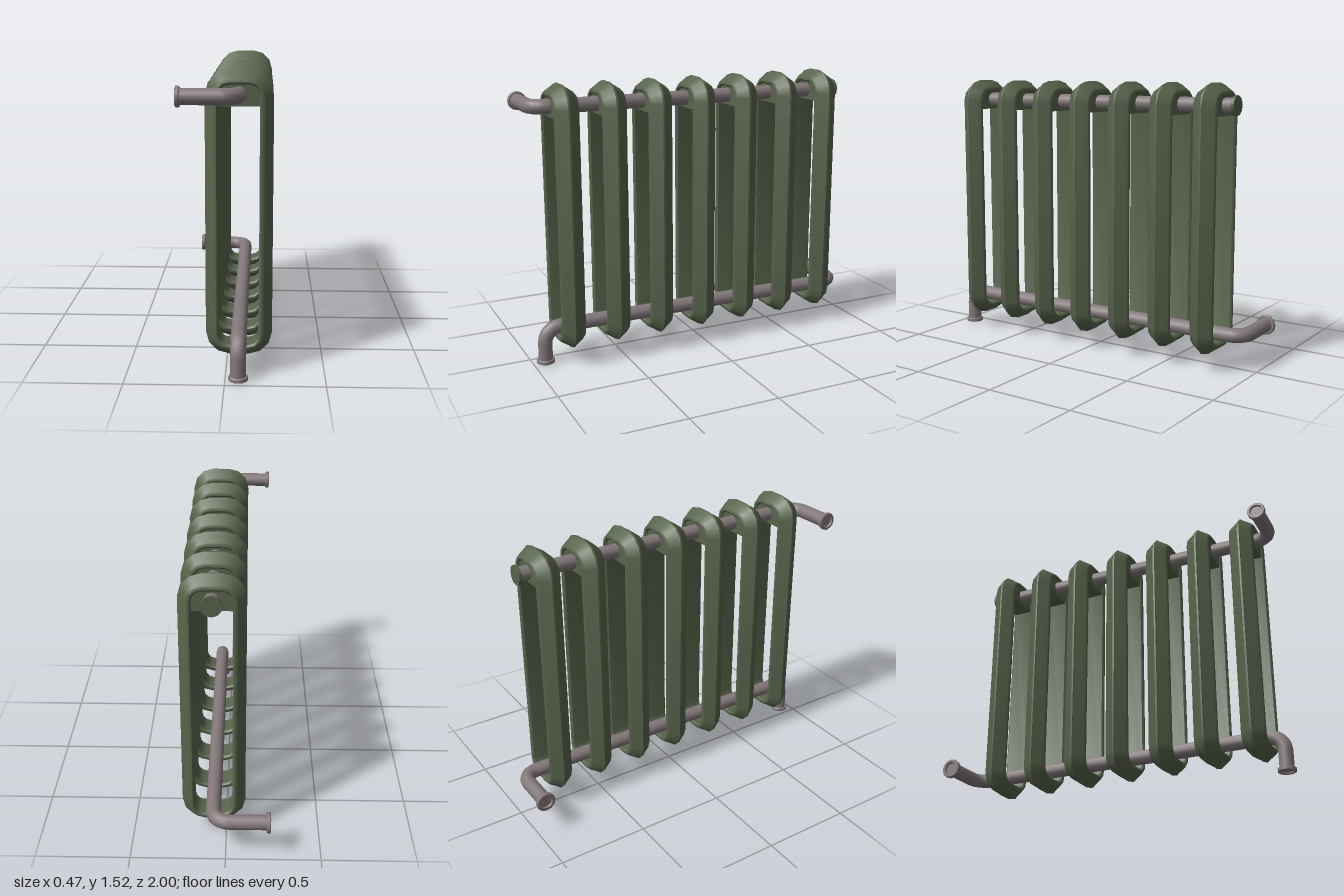
import * as THREE from 'three';
import { toCreasedNormals } from 'three/addons/utils/BufferGeometryUtils.js';

const CX = 0.066, UPPER = 1.41, LOWER = 0.2, R = 0.04;
const v = (x, y, z) => new THREE.Vector3(x, y, z);

// Closed rounded-rectangle loop swept with a section of [inset from outer edge, z]
function ringGeometry() {
  const hw = 0.167, hh = 0.718, r = 0.12, steps = 3;
  const section = [[0, -0.005], [0, 0.005], [0.007, 0.012], [0.038, 0.06], [0.047, 0.067],
    [0.058, 0.067], [0.067, 0.058], [0.067, -0.058], [0.058, -0.067], [0.047, -0.067],
    [0.038, -0.06], [0.007, -0.012]];
  const pos = [], idx = [], m = section.length, n = 4 * (steps + 1);
  for (let c = 0; c < 4; c++) {
    const sx = c === 0 || c === 3 ? 1 : -1, sy = c < 2 ? 1 : -1;
    for (let s = 0; s <= steps; s++) {
      const a = (c + s / steps) * Math.PI / 2;
      for (const [d, z] of section) {
        pos.push(sx * (hw - r) + (r - d) * Math.cos(a), sy * (hh - r) + (r - d) * Math.sin(a), z);
      }
    }
  }
  for (let i = 0; i < n; i++) {
    for (let j = 0; j < m; j++) {
      const i2 = (i + 1) % n, j2 = (j + 1) % m;
      const a = i * m + j, b = i2 * m + j, c = i2 * m + j2, d = i * m + j2;
      idx.push(a, b, c, a, c, d);
    }
  }
  const g = new THREE.BufferGeometry();
  g.setAttribute('position', new THREE.Float32BufferAttribute(pos, 3));
  g.setIndex(idx);
  return toCreasedNormals(g, 0.7);
}

export function createModel() {
  const model = new THREE.Group();
  model.name = 'radiator';
  const green = new THREE.MeshStandardMaterial({ color: 0x58644c });
  green.name = 'green paint';
  const metal = new THREE.MeshStandardMaterial({ color: 0x83787a });
  metal.name = 'pipe metal';

  const add = (name, geometry, material, parent = model) => {
    const mesh = new THREE.Mesh(geometry, material);
    mesh.name = name;
    parent.add(mesh);
    return mesh;
  };
  // Point a y-axis part along a direction
  const aim = (mesh, at, dir) => {
    mesh.position.copy(at);
    mesh.quaternion.setFromUnitVectors(v(0, 1, 0), dir.clone().normalize());
  };
  const straight = (name, a, b, parent) => {
    const dir = b.clone().sub(a);
    const mesh = add(name, new THREE.CylinderGeometry(R, R, dir.length(), 12, 1, true), metal, parent);
    aim(mesh, a.clone().add(b).multiplyScalar(0.5), dir);
  };
  // Rimmed pipe end with a shallow recess
  const flange = (name, end, dir, radius, parent) => {
    const profile = [[R - 0.004, -0.022], [radius - 0.004, -0.022], [radius, -0.018], [radius, -0.003],
      [radius - 0.004, 0], [0.037, 0], [0.034, -0.012], [0, -0.012]];
    const g = new THREE.LatheGeometry(profile.map(p => new THREE.Vector2(...p)), 12);
    aim(add(name, toCreasedNormals(g, 0.6), metal, parent), end, dir);
  };
  // Pipe from a far point to a corner, through an elbow, to a flanged outlet
  const bentPipe = (name, far, corner, outlet, radius) => {
    const group = new THREE.Group();
    group.name = name;
    model.add(group);
    const bend = 0.085;
    const p = corner.clone().add(far.clone().sub(corner).setLength(bend));
    const q = corner.clone().add(outlet.clone().sub(corner).setLength(bend));
    const dir = outlet.clone().sub(corner).normalize();
    straight('mainPipe', far, p, group);
    const k = 0.55;
    const curve = new THREE.CubicBezierCurve3(p, p.clone().lerp(corner, k), q.clone().lerp(corner, k), q);
    add('elbow', new THREE.TubeGeometry(curve, 6, R, 12), metal, group);
    straight('outletPipe', q, outlet.clone().addScaledVector(dir, -0.015), group);
    flange('outletFlange', outlet, dir, radius, group);
  };

  // Seven radiator sections, each a ring with a header block at the top
  const ring = ringGeometry();
  const block = new THREE.BoxGeometry(0.22, 0.105, 0.11);
  for (let i = 0; i < 7; i++) {
    const sectionGroup = new THREE.Group();
    sectionGroup.name = 'radiatorSection';
    sectionGroup.position.set(CX, 0.807, 0.8 - i * 0.26);
    model.add(sectionGroup);
    add('sectionRing', ring, green, sectionGroup);
    add('headerBlock', block, green, sectionGroup).position.y = 0.6;
  }

  // Upper pipe, turning right at the front and capped at the back
  bentPipe('upperPipe', v(CX, UPPER, -0.875), v(CX, UPPER, 0.948), v(-0.23, UPPER, 0.948), 0.051);
  const cap = add('endCap', new THREE.CylinderGeometry(0.053, 0.053, 0.018, 12), green);
  aim(cap, v(CX, UPPER, -0.878), v(0, 0, -1));

  // Lower pipe, dropping to the floor at the front and turning right at the back
  bentPipe('lowerPipeFront', v(CX, LOWER, 0), v(CX, LOWER, 0.93), v(CX, 0, 0.93), 0.05);
  bentPipe('lowerPipeBack', v(CX, LOWER, 0), v(CX, LOWER, -0.945), v(-0.235, LOWER, -0.945), 0.055);
  return model;
}
